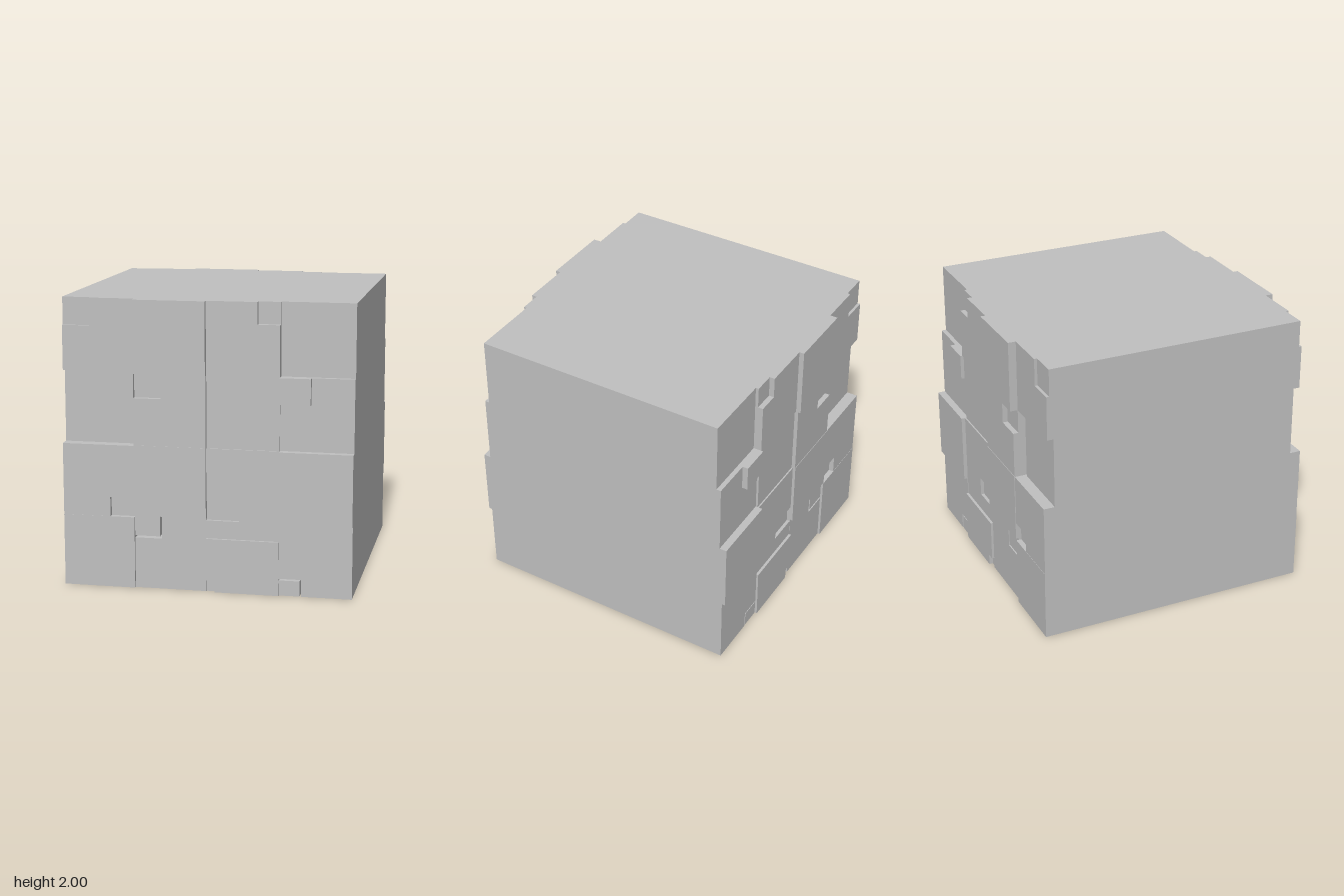
import * as THREE from 'three';

const CORE = 0.86; // half depth of the solid core behind the blocks

// Each block: x0, x1, y0, y1, depth, and an optional corner notch:
// sx/sy pick the corner, w/h its size, z its depth, gap the groove round it.
const blocks = [
  // top row
  [-1, -0.5, 1.5, 2, 0.945, { sx: -1, sy: 1, w: 0.19, h: 0.19, z: 0.925 }],
  [-0.5, 0, 1.5, 2, 1.0],
  [0, 0.5, 1.5, 2, 0.965, { sx: 1, sy: 1, w: 0.15, h: 0.15, z: 0.928 }],
  [0.5, 1, 1.5, 2, 0.907],
  // second row, with a narrow slot beside the first block
  [-1, -0.52, 1, 1.5, 0.9],
  [-0.5, 0, 1.005, 1.5, 0.982, { sx: -1, sy: 1, w: 0.19, h: 0.17, z: 0.945 }],
  [0, 0.5, 1, 1.5, 0.955],
  [0.5, 1, 1, 1.5, 0.94, { sx: -1, sy: 1, w: 0.21, h: 0.18, z: 0.98 }],
  // third row
  [-1, -0.5, 0.5, 1, 0.98, { sx: 1, sy: -1, w: 0.17, h: 0.135, z: 0.945 }],
  [-0.5, 0, 0.515, 1.005, 0.985],
  [0, 0.5, 0.5, 1, 0.965, { sx: -1, sy: -1, w: 0.225, h: 0.135, z: 0.94 }],
  [0.5, 1, 0.5, 1, 0.992],
  // bottom row
  [-1, -0.5, 0, 0.5, 0.982],
  [-0.5, 0, 0, 0.515, 0.965, { sx: -1, sy: 1, w: 0.19, h: 0.16, z: 0.965, gap: 0.015 }],
  [0, 0.5, 0, 0.375, 0.982, { sx: -1, sy: -1, w: 0.06, h: 0.08, z: 0.955 }],
  [0, 0.5, 0.375, 0.5, 0.963],
  [0.5, 1, 0, 0.5, 0.967, { sx: -1, sy: -1, w: 0.155, h: 0.118, z: 0.965, gap: 0.012 }],
];

export function createModel() {
  const model = new THREE.Group();
  model.name = 'blockCube';
  const stone = new THREE.MeshStandardMaterial({ color: 0xc0c0c0 });
  stone.name = 'light grey';

  const core = new THREE.Mesh(new THREE.BoxGeometry(2, 2, CORE * 2), stone);
  core.name = 'core';
  core.position.y = 1;
  model.add(core);

  // Extrude an outline outwards from the core on one side
  function addSlab(parent, name, points, depth, side) {
    const shape = new THREE.Shape(points.map(([x, y]) => new THREE.Vector2(x, y)));
    const geometry = new THREE.ExtrudeGeometry(shape, { depth: depth - CORE, bevelEnabled: false });
    geometry.translate(0, 0, side > 0 ? CORE : -depth);
    const mesh = new THREE.Mesh(geometry, stone);
    mesh.name = name;
    parent.add(mesh);
  }

  // The same relief on the front and, mirrored, on the back
  for (const side of [1, -1]) {
    const face = new THREE.Group();
    face.name = side > 0 ? 'frontBlocks' : 'backBlocks';
    for (const [x0, x1, y0, y1, depth, notch] of blocks) {
      if (!notch) {
        addSlab(face, 'block', [[x0, y0], [x1, y0], [x1, y1], [x0, y1]], depth, side);
        continue;
      }
      const { sx, sy, w, h, z, gap = 0 } = notch;
      const [nx, fx] = sx < 0 ? [x0, x1] : [x1, x0]; // near and far edges
      const [ny, fy] = sy < 0 ? [y0, y1] : [y1, y0];
      const ix = nx - sx * w, iy = ny - sy * h; // inner corner of the notch
      addSlab(face, 'notchedBlock',
        [[ix, ny], [ix, iy], [nx, iy], [nx, fy], [fx, fy], [fx, ny]], depth, side);
      const px = ix + sx * gap, py = iy + sy * gap;
      addSlab(face, 'cornerPatch', [[nx, ny], [px, ny], [px, py], [nx, py]], z, side);
    }
    model.add(face);
  }
  return model;
}
